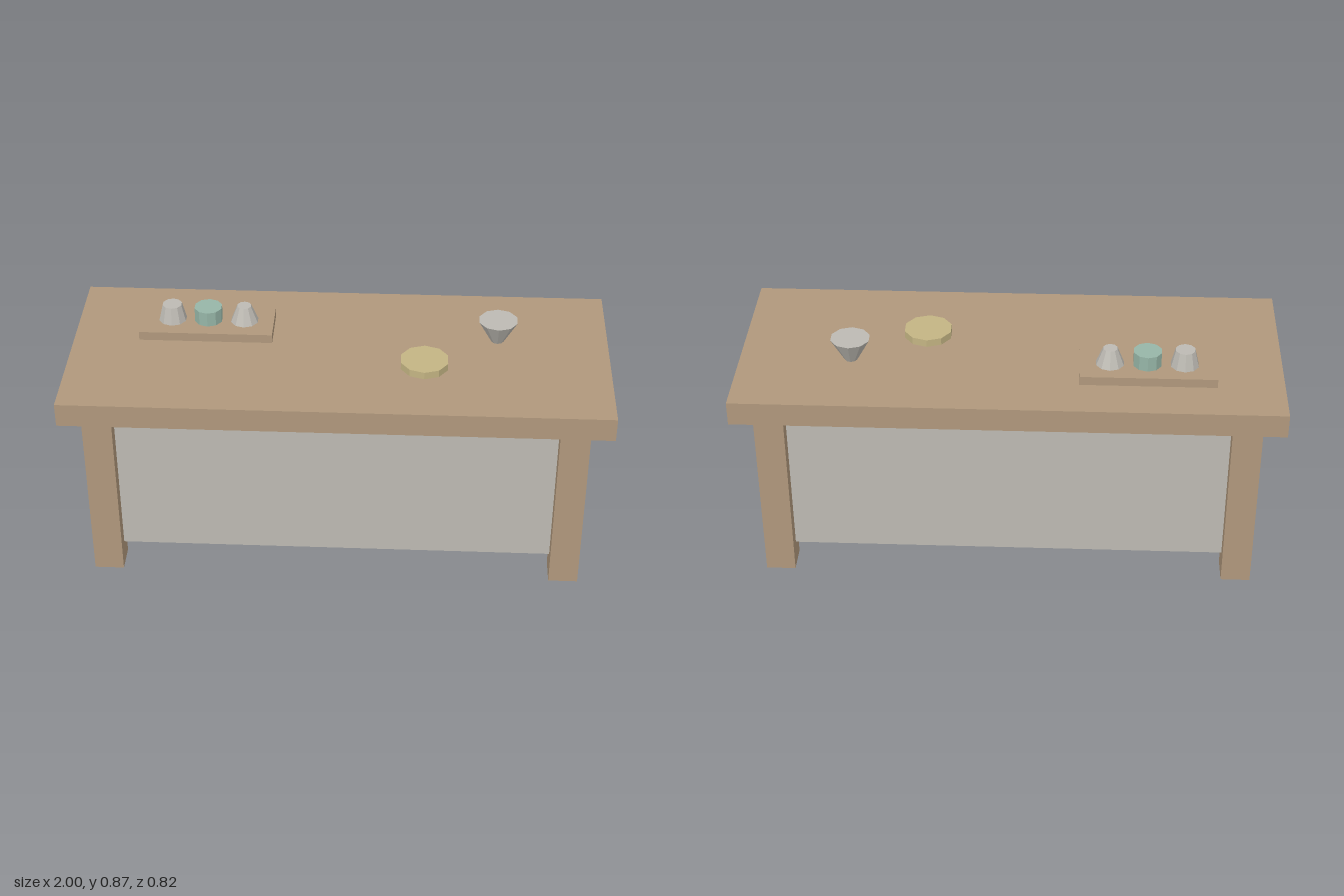
import * as THREE from 'three';

export function createModel() {
  const model = new THREE.Group();
  model.name = 'counterTable';

  const mat = (name, color) => {
    const m = new THREE.MeshStandardMaterial({ color, flatShading: true });
    m.name = name;
    return m;
  };
  const wood = mat('wood', 0xb0987c);
  const grey = mat('paleGrey', 0xbdbab3);
  const green = mat('sageGreen', 0x96b5a7);
  const straw = mat('straw', 0xc3b483);

  const add = (name, geometry, material, x, y, z) => {
    const mesh = new THREE.Mesh(geometry, material);
    mesh.name = name;
    mesh.position.set(x, y, z);
    model.add(mesh);
  };
  // Box spanning y0..y1, centred on x and z
  const box = (name, material, w, d, y0, y1, x = 0, z = 0) =>
    add(name, new THREE.BoxGeometry(w, y1 - y0, d), material, x, (y0 + y1) / 2, z);
  // Ten-sided tapered round spanning y0..y1
  const round = (name, material, rTop, rBottom, y0, y1, x, z) =>
    add(name, new THREE.CylinderGeometry(rTop, rBottom, y1 - y0, 10), material, x, (y0 + y1) / 2, z);

  // Table top, legs and the closed cabinet between them
  box('tableTop', wood, 2, 0.816, 0.684, 0.774);
  for (const sx of [1, -1]) {
    for (const sz of [1, -1]) {
      const name = (sz > 0 ? 'front' : 'back') + (sx > 0 ? 'Left' : 'Right') + 'Leg';
      box(name, wood, 0.109, 0.109, 0, 0.684, sx * 0.8625, sz * 0.319);
    }
  }
  box('cabinet', grey, 1.73, 0.645, 0.088, 0.678);

  // Tray with two shakers and a jar
  box('tray', wood, 0.5, 0.201, 0.774, 0.808, -0.505, -0.135);
  round('wideShaker', grey, 0.037, 0.053, 0.808, 0.873, -0.638, -0.137);
  round('jar', green, 0.053, 0.053, 0.808, 0.865, -0.502, -0.137);
  round('narrowShaker', grey, 0.027, 0.053, 0.808, 0.873, -0.366, -0.137);

  // Dish and flared bowl
  round('dish', straw, 0.091, 0.091, 0.774, 0.802, 0.316, 0.091);
  round('flaredBowl', grey, 0.074, 0.024, 0.774, 0.864, 0.588, -0.092);

  return model;
}
